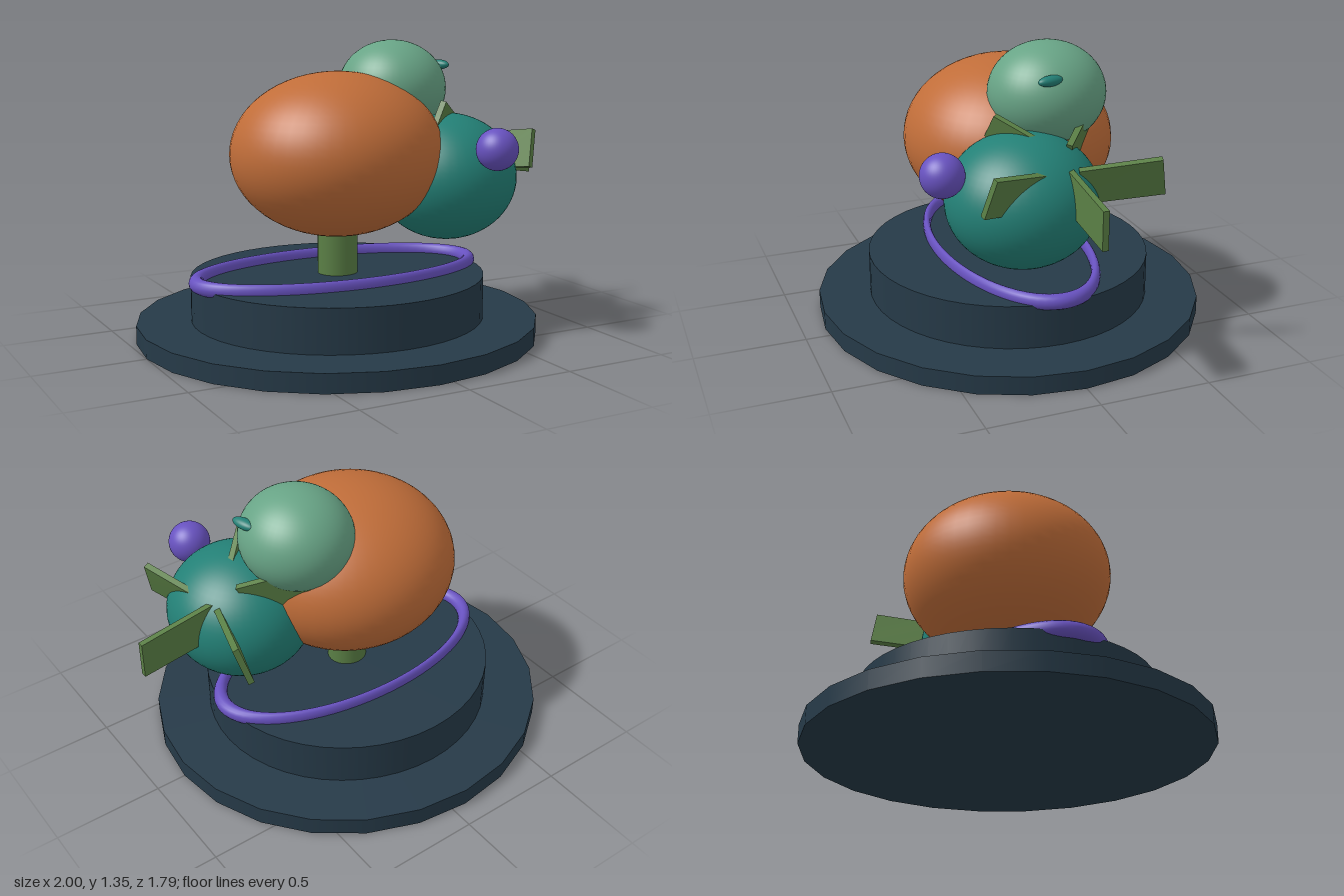
import * as THREE from 'three';

const mat = (name, color) => {
  const m = new THREE.MeshStandardMaterial({ color });
  m.name = name;
  return m;
};

export function createModel() {
  const slate = mat('slate', 0x263a48);
  const orange = mat('burnt orange', 0xc06d39);
  const teal = mat('teal', 0x238076);
  const sage = mat('sage', 0x68a486);
  const purple = mat('purple', 0x6852c0);
  const green = mat('leaf green', 0x5a7f45);

  const group = new THREE.Group();
  group.name = 'model';
  const CX = -0.07; // axis of the pedestal
  const DEPTH = 0.963; // everything round is slightly squeezed in z

  const add = (name, geometry, material) => {
    const mesh = new THREE.Mesh(geometry, material);
    mesh.name = name;
    group.add(mesh);
    return mesh;
  };
  const disc = (name, r, y0, y1, sides, material) => {
    const mesh = add(name, new THREE.CylinderGeometry(r, r, y1 - y0, sides), material);
    mesh.position.set(CX, (y0 + y1) / 2, 0);
    mesh.scale.z = DEPTH;
  };
  const ellipsoid = (name, center, radii, material) => {
    const mesh = add(name, new THREE.SphereGeometry(1, 48, 32), material);
    mesh.position.set(...center);
    mesh.scale.set(...radii);
    return mesh;
  };

  // Stepped pedestal and post
  disc('base', 0.93, 0, 0.085, 24, slate);
  disc('upperTier', 0.68, 0.085, 0.285, 48, slate);
  disc('post', 0.093, 0.28, 0.6, 24, green);

  // Flattened ring lying on the tier
  const ring = add('ring', new THREE.TorusGeometry(0.685, 0.035, 16, 72).rotateX(Math.PI / 2), purple);
  ring.position.set(CX, 0.295, 0);
  ring.scale.z = 0.493;

  // Rounded masses
  ellipsoid('body', [CX, 0.837, 0], [0.495, 0.375, 0.475], orange);
  ellipsoid('head', [0.25, 1.12, -0.06], [0.25, 0.225, 0.26], sage);
  ellipsoid('chest', [0.435, 0.715, 0.122], [0.33, 0.295, 0.338], teal);
  ellipsoid('ball', [0.47, 0.878, 0.49], [0.095, 0.095, 0.095], purple);
  const eye = ellipsoid('eye', [0.462, 1.228, 0.01], [0.028, 0.023, 0.062], teal);
  eye.rotation.y = 0.25;

  // Blade: a thin box whose corners are moved to a root edge and a tip edge
  const blade = (name, rootTop, rootBottom, tipTop, tipBottom) => {
    const v = (p) => new THREE.Vector3(...p);
    const [rt, rb, tt, tb] = [rootTop, rootBottom, tipTop, tipBottom].map(v);
    const side = tt.clone().sub(rt).cross(rt.clone().sub(rb)).normalize();
    const geo = new THREE.BoxGeometry(1, 1, 1);
    const pos = geo.attributes.position;
    for (let i = 0; i < pos.count; i++) {
      const tip = pos.getX(i) > 0;
      const top = pos.getY(i) > 0;
      const p = (tip ? (top ? tt : tb) : top ? rt : rb).clone();
      p.addScaledVector(side, pos.getZ(i) * 0.027);
      pos.setXYZ(i, p.x, p.y, p.z);
    }
    geo.computeVertexNormals();
    add(name, geo, green);
  };

  // Fan of five blades, symmetric about z = 0
  blade('middleBlade', [0.6, 0.91, 0], [0.6, 0.735, 0], [1, 0.847, 0], [1, 0.68, 0]);
  for (const s of [1, -1]) {
    const where = s > 0 ? 'front' : 'back';
    blade(where + 'OuterBlade', [0.65, 0.895, 0.04 * s], [0.6, 0.73, 0.08 * s],
      [0.76, 0.94, 0.365 * s], [0.717, 0.772, 0.405 * s]);
    blade(where + 'InnerBlade', [0.55, 0.97, 0.04 * s], [0.46, 0.81, 0.07 * s],
      [0.36, 1.075, 0.218 * s], [0.27, 0.92, 0.25 * s]);
  }

  return group;
}
